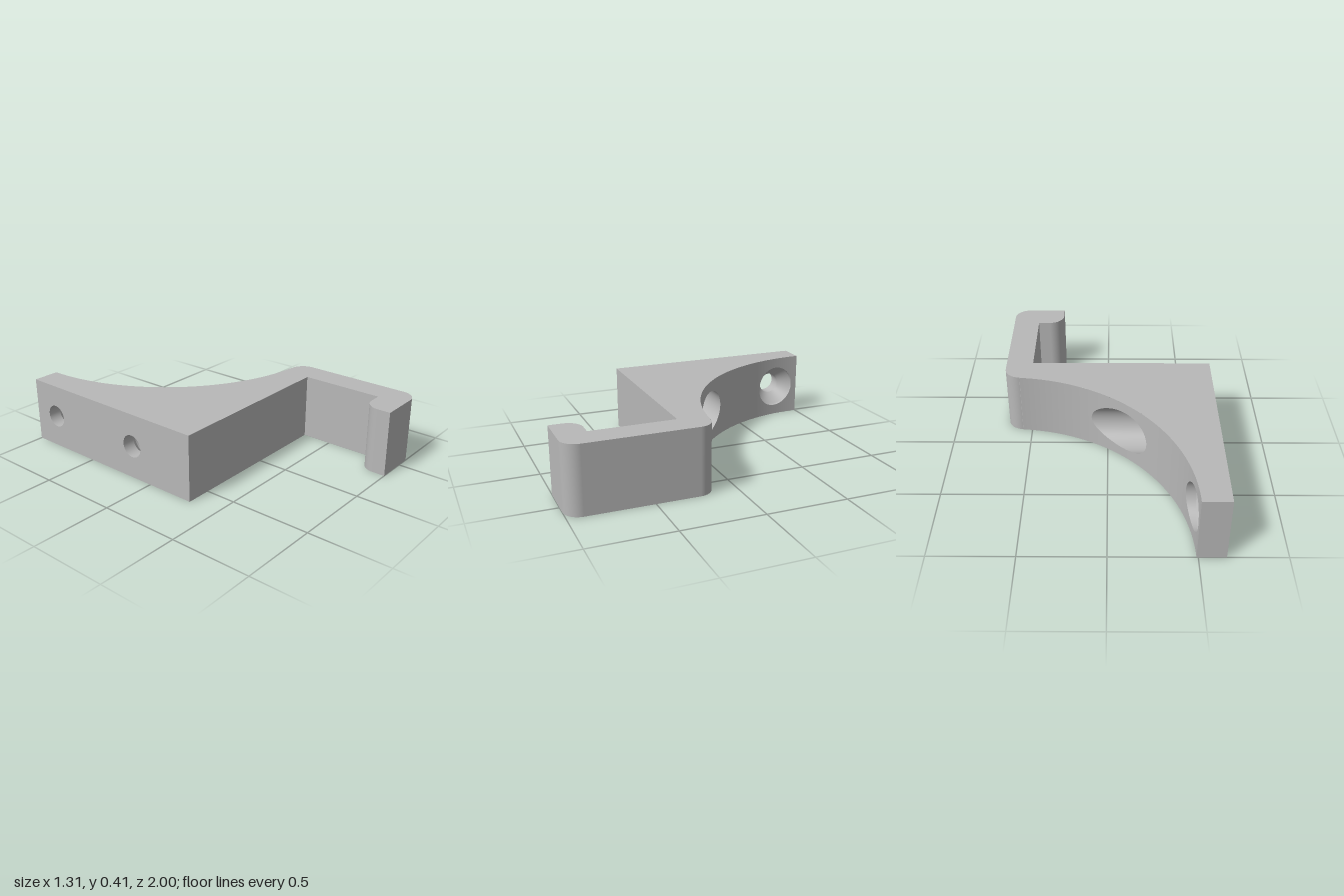
import * as THREE from 'three';
import { ParametricGeometry } from 'three/addons/geometries/ParametricGeometry.js';

const H = 0.412, MID = H / 2;             // height of the bracket
const L = -0.657, R = 0.657, F = 0.095;   // left and right sides, fillet radius
const ARC = 1.14, CX = 0.65, CZ = -1;     // concave curve
const ARC_START = 0.56, ARC_END_Z = CZ + Math.sqrt(ARC ** 2 - (CX - ARC_START) ** 2);
const HOLES = [-0.82, -0.14], HALF = 0.18, SMALL = 0.07, BIG = 0.14;

const flatX = () => L;
const curveX = (z) => CX - Math.sqrt(Math.max(0, ARC ** 2 - (z - CZ) ** 2));

// Outline seen from above, as (x, z)
function outline() {
  const s = new THREE.Shape();
  s.moveTo(L, -1);
  s.lineTo(L, 0.31);
  s.lineTo(0.487, 0.31);
  s.lineTo(0.487, 0.825);
  s.lineTo(0.41, 0.825);
  s.absarc(0.41, 0.825 + F, F, -Math.PI / 2, -Math.PI, true);
  s.lineTo(0.41 - F, 1);
  s.lineTo(R - F, 1);
  s.absarc(R - F, 1 - F, F, Math.PI / 2, 0, true);
  s.lineTo(R, 0.14 + F);
  s.absarc(R - F, 0.14 + F, F, 0, -Math.PI / 2, true);
  s.absarc(CX, CZ, ARC, Math.PI / 2 + Math.asin((CX - ARC_START) / ARC), Math.PI, false);
  s.lineTo(L, -1);
  return s;
}

export function createModel() {
  const group = new THREE.Group();
  const grey = new THREE.MeshStandardMaterial({ color: 0xb8b8b8 });
  grey.name = 'grey';
  const add = (name, geometry) => {
    const mesh = new THREE.Mesh(geometry, grey);
    mesh.name = name;
    group.add(mesh);
  };
  const surface = (name, fn, nu, nv) => add(name, new ParametricGeometry(fn, nu, nv));

  // Top and bottom faces
  const shape = outline();
  const points = shape.getPoints(48);
  add('bottomFace', new THREE.ShapeGeometry(new THREE.Shape(points)).rotateX(Math.PI / 2));
  const mirrored = new THREE.Shape(points.map((p) => new THREE.Vector2(p.x, -p.y)));
  add('topFace', new THREE.ShapeGeometry(mirrored).rotateX(-Math.PI / 2).translate(0, H, 0));

  // Plain side walls and fillets
  shape.curves.forEach((curve, i) => {
    if (i === 0 || curve.xRadius === ARC || curve.getLength() < 1e-6) return;
    surface('sideWall', (u, v, target) => {
      const p = curve.getPoint(u);
      target.set(p.x, v * H, p.y);
    }, curve.xRadius ? 48 : 1, 1);
  });

  // Wall between two depths; side +1 faces +x, -1 faces -x
  const strip = (name, xAt, z0, z1, side) => surface(name, (u, v, target) => {
    const z = side > 0 ? z1 + (z0 - z1) * u : z0 + (z1 - z0) * u;
    target.set(xAt(z), v * H, z);
  }, 32, 1);

  // Wall patch from a round hole out to a rectangle
  const clamp = (t) => THREE.MathUtils.clamp(t * Math.SQRT2, -1, 1);
  const patch = (name, xAt, zc, r, side) => surface(name, (u, v, target) => {
    const a = side * u * Math.PI * 2, c = Math.cos(a), s = Math.sin(a);
    const z = zc + THREE.MathUtils.lerp(r * c, HALF * clamp(c), v);
    const y = MID + THREE.MathUtils.lerp(r * s, MID * clamp(s), v);
    target.set(xAt(z), y, z);
  }, 64, 8);

  const walls = [
    { name: 'mountingWall', xAt: flatX, r: SMALL, side: -1, end: 0.31 },
    { name: 'curvedWall', xAt: curveX, r: BIG, side: 1, end: ARC_END_Z },
  ];
  for (const { name, xAt, r, side, end } of walls) {
    HOLES.forEach((zc, i) => {
      patch(name, xAt, zc, r, side);
      strip(name, xAt, zc + HALF, i === 0 ? HOLES[1] - HALF : end, side);
    });
  }

  // Screw holes: narrow bore, countersink, wide bore up to the curve
  const cone0 = -0.575, cone1 = -0.505;
  for (const zc of HOLES) {
    const bore = (name, r0, r1, x0, x1) => surface(name, (u, v, target) => {
      const a = u * Math.PI * 2, r = r0 + (r1 - r0) * v;
      const z = zc + r * Math.cos(a);
      const end = x1 ?? curveX(z);
      target.set(x0 + (end - x0) * v, MID + r * Math.sin(a), z);
    }, 64, 4);
    bore('screwBore', SMALL, SMALL, L, cone0);
    bore('countersink', SMALL, BIG, cone0, cone1);
    bore('screwHeadBore', BIG, BIG, cone1);
  }
  return group;
}
